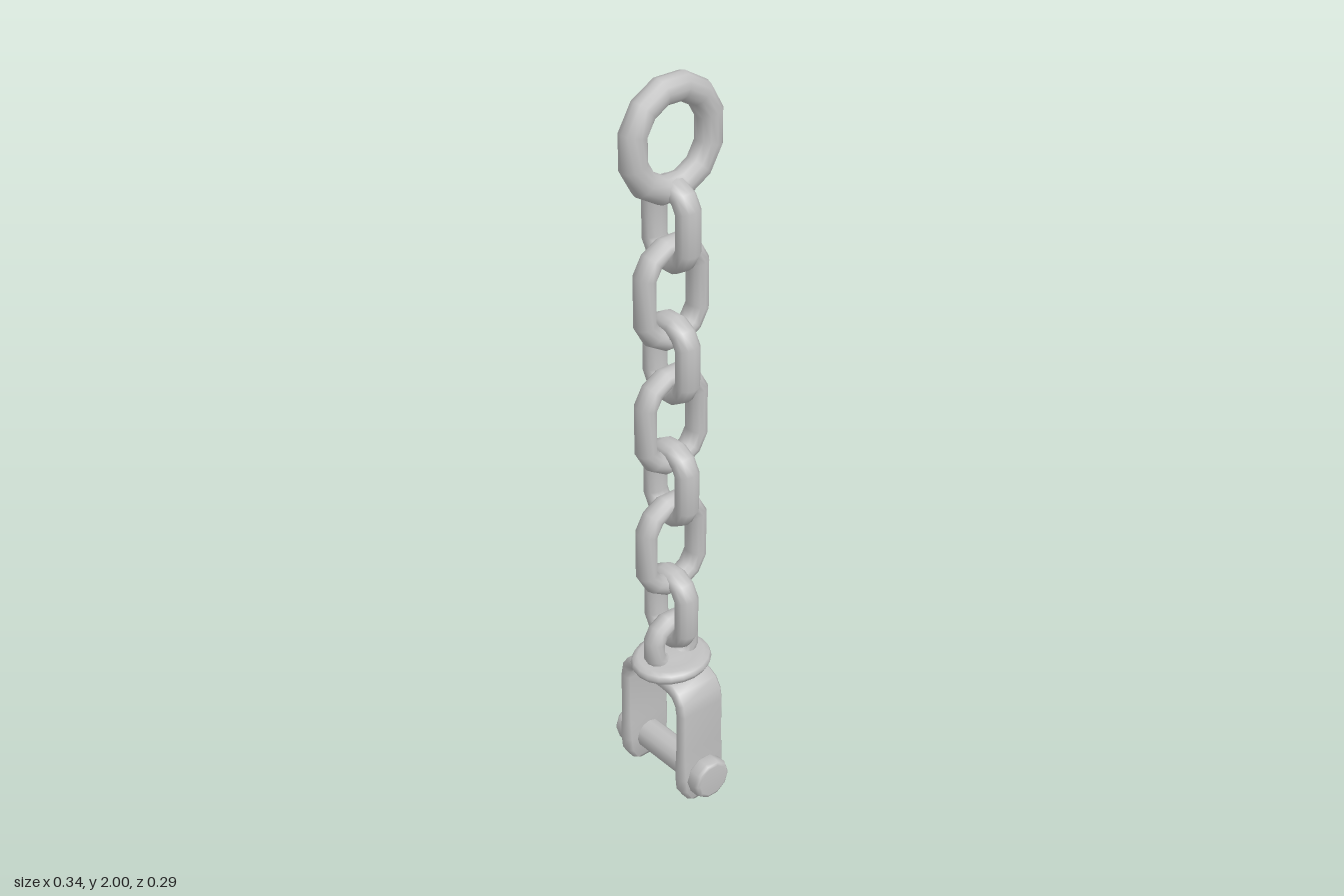
import * as THREE from 'three';
import { mergeVertices, toCreasedNormals } from 'three/addons/utils/BufferGeometryUtils.js';

const steel = new THREE.MeshStandardMaterial({ color: 0xc0c0c0 });
steel.name = 'steel grey';

// Weld a geometry and give it smooth normals
function smooth(geometry) {
  geometry.deleteAttribute('uv');
  geometry.deleteAttribute('normal');
  const welded = mergeVertices(geometry, 1e-5);
  welded.computeVertexNormals();
  return welded;
}

// Torus stretched into an oval link lying in the XY plane
function linkGeometry(halfWidth, halfHeight, wire, halfDepth, segments = 12) {
  const flat = Math.cos(Math.PI / segments); // keeps the flats at the full width
  const geo = new THREE.TorusGeometry(halfWidth / flat - wire, wire, 12, segments);
  geo.rotateZ(Math.PI / segments);
  geo.scale(1, 1, halfDepth / wire);
  const p = geo.attributes.position;
  for (let i = 0; i < p.count; i++) {
    p.setY(i, p.getY(i) + Math.sign(p.getY(i)) * (halfHeight - halfWidth));
  }
  return smooth(geo);
}

// U-shaped strap built from bevelled rectangular cross-sections
function strapGeometry() {
  const side = [ // x, y, direction of outward normal (degrees), half thickness, half depth
    [0.112, 0.003, 0, 0.01, 0.026],
    [0.112, 0.018, 0, 0.019, 0.048],
    [0.112, 0.05, 0, 0.021, 0.067],
    [0.112, 0.09, 0, 0.021, 0.071],
    [0.112, 0.14, 0, 0.019, 0.071],
    [0.112, 0.18, 0, 0.017, 0.07],
    [0.112, 0.3, 0, 0.017, 0.07],
    [0.107, 0.328, 22, 0.017, 0.07],
    [0.092, 0.35, 45, 0.017, 0.07],
    [0.072, 0.36, 70, 0.017, 0.07],
    [0.045, 0.363, 90, 0.017, 0.07],
  ];
  const stations = [
    ...side,
    ...side.slice().reverse().map(([x, y, a, t, d]) => [-x, y, 180 - a, t, d]),
  ];
  const verts = [], index = [], n = 8;
  for (const [x, y, deg, t, d] of stations) {
    const a = THREE.MathUtils.degToRad(deg), b = t * 0.45;
    const section = [
      [t, d - b], [t - b, d], [b - t, d], [-t, d - b],
      [-t, b - d], [b - t, -d], [t - b, -d], [t, b - d],
    ];
    for (const [u, z] of section) verts.push(x + Math.cos(a) * u, y + Math.sin(a) * u, z);
  }
  for (let s = 0; s < stations.length - 1; s++) {
    for (let k = 0; k < n; k++) {
      const a = s * n + k, b = s * n + (k + 1) % n;
      index.push(a, a + n, b, b, a + n, b + n);
    }
  }
  const last = (stations.length - 1) * n;
  for (let k = 1; k < n - 1; k++) {
    index.push(0, k, k + 1, last, last + k + 1, last + k);
  }
  const geo = new THREE.BufferGeometry();
  geo.setAttribute('position', new THREE.Float32BufferAttribute(verts, 3));
  geo.setIndex(index);
  return toCreasedNormals(geo, 0.9);
}

// Round part turned from a profile of [radius, height] points
function lathe(points, segments) {
  return smooth(new THREE.LatheGeometry(points.map(([r, y]) => new THREE.Vector2(r, y)), segments));
}

export function createModel() {
  const model = new THREE.Group();
  model.name = 'chainWithShackle';
  const add = (name, geometry, x = 0, y = 0, z = 0) => {
    const mesh = new THREE.Mesh(geometry, steel);
    mesh.name = name;
    mesh.position.set(x, y, z);
    model.add(mesh);
    return mesh;
  };

  // Large ring at the top, seen edge-on from the front
  add('topRing', linkGeometry(0.145, 0.152, 0.035, 0.033), 0, 1.848).rotation.y = Math.PI / 2;

  // Chain links, alternately facing front and side
  const frontLink = linkGeometry(0.086, 0.119, 0.027, 0.033);
  const sideLink = linkGeometry(0.107, 0.145, 0.027, 0.031);
  [1.638, 1.288, 0.937, 0.561].forEach((y) => add('frontLink', frontLink, 0, y));
  [1.463, 1.118, 0.756].forEach((y) => {
    add('sideLink', sideLink, 0, y).rotation.y = Math.PI / 2;
  });

  // Swivel eye and its rounded collar
  add('swivelEye', linkGeometry(0.083, 0.09, 0.027, 0.03), 0, 0.448).rotation.y = Math.PI / 2;
  const collar = add('swivelCollar', lathe([
    [0, 0.36], [0.07, 0.362], [0.088, 0.37], [0.106, 0.379], [0.112, 0.391],
    [0.107, 0.403], [0.093, 0.409], [0.07, 0.408], [0.04, 0.411], [0, 0.414],
  ], 20));
  collar.scale.x = 0.86;

  // Shackle strap
  add('shackleStrap', strapGeometry());

  // Cross pin with a rounded head on each end
  const pin = new THREE.CylinderGeometry(0.041, 0.041, 0.24, 12);
  add('pin', pin, 0, 0.083).rotation.z = Math.PI / 2;
  const head = lathe([
    [0, 0], [0.052, 0], [0.058, 0.008], [0.058, 0.034], [0.053, 0.042], [0.045, 0.045], [0, 0.045],
  ], 10);
  for (const s of [-1, 1]) {
    add('pinHead', head, s * 0.127, 0.086).rotation.z = -s * Math.PI / 2;
  }
  return model;
}
